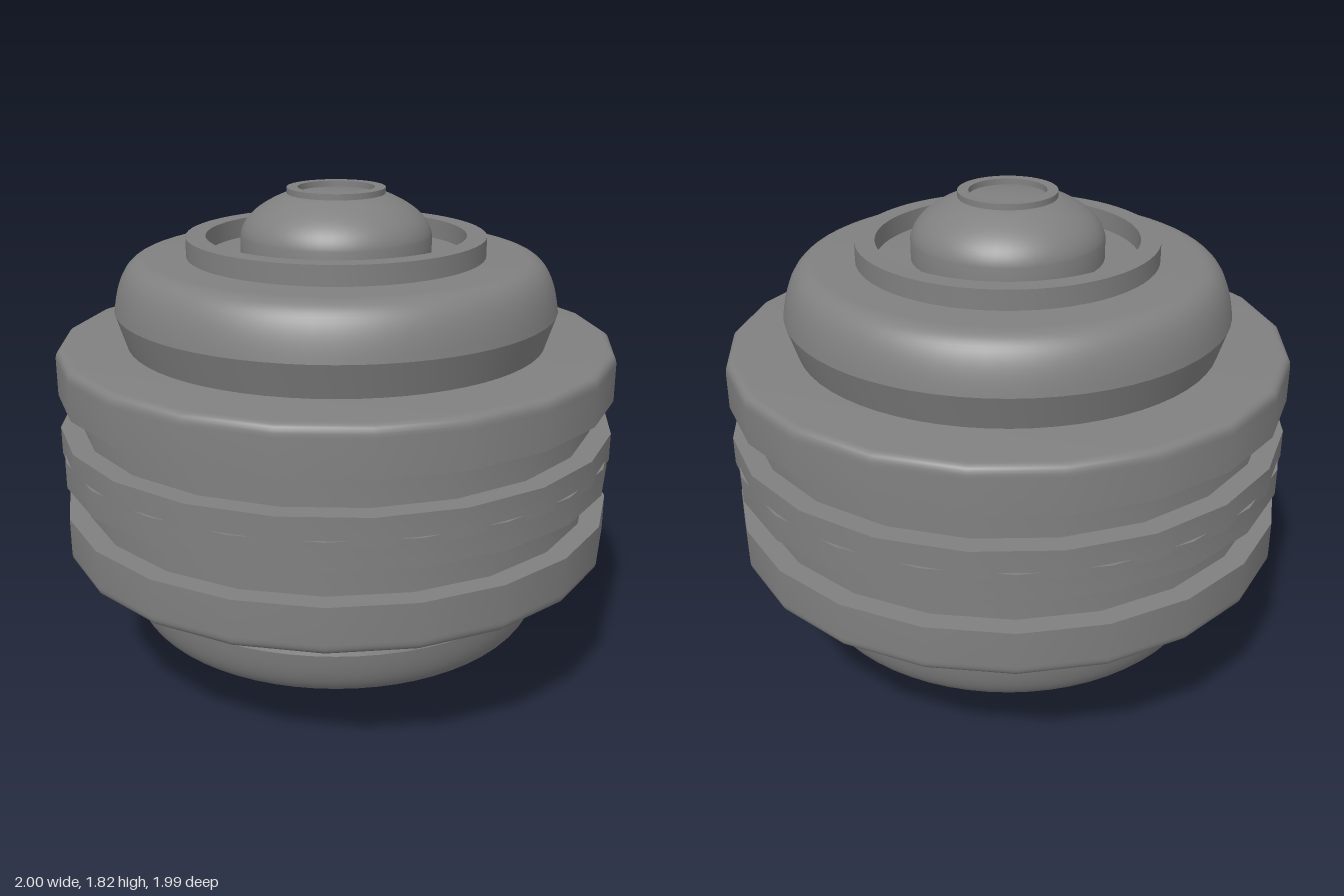
import * as THREE from 'three';
import { toCreasedNormals } from 'three/addons/utils/BufferGeometryUtils.js';

const MID = 0.912; // height of the seam between the two halves
const material = new THREE.MeshStandardMaterial({ color: 0x808080 });

const points = (...pairs) => pairs.map(([r, y]) => new THREE.Vector2(r, y));

// Rounded profile section through a cubic curve
const curve = (n, ...pairs) => new THREE.CubicBezierCurve(...points(...pairs)).getPoints(n);

// Turn a profile (radius, height, listed upwards on the outside) into a mesh
function turned(name, profile, sides, crease) {
  const local = profile.map((p) => new THREE.Vector2(p.x, p.y - MID));
  const geometry = new THREE.LatheGeometry(local, sides, -Math.PI / 2);
  const mesh = new THREE.Mesh(toCreasedNormals(geometry, crease), material);
  mesh.name = name;
  return mesh;
}

function createHalf(name) {
  const half = new THREE.Group();
  half.name = name;

  // Coarse 21-sided drum with a groove and a rounded shoulder
  half.add(turned('groovedDrum', [
    ...points([0, 0.902], [1, 0.902], [1, 1.0], [0.925, 1.0], [0.925, 1.12], [1, 1.12]),
    ...curve(6, [1, 1.25], [1, 1.275], [0.99, 1.29], [0.965, 1.29]),
    ...points([0, 1.29]),
  ], 21, 0.4));

  // Flared body with a soft upper edge
  half.add(turned('flaredBody', [
    ...points([0.748, 1.285]),
    ...curve(14, [0.788, 1.41], [0.77, 1.53], [0.735, 1.59], [0.66, 1.59]),
    ...points([0, 1.59]),
  ], 64, 0.3));

  // Raised rim around the dome
  half.add(turned('raisedRim',
    points([0.53, 1.585], [0.53, 1.66], [0.46, 1.66], [0.46, 1.585]), 64, 0.4));

  // Central dome, easing into the collar
  half.add(turned('dome', [
    ...points([0.338, 1.585]),
    ...curve(14, [0.338, 1.66], [0.328, 1.72], [0.27, 1.765], [0.173, 1.803]),
    ...points([0, 1.803]),
  ], 48, 0.4));

  // Small hollow collar on the dome
  half.add(turned('collar',
    points([0.173, 1.795], [0.173, 1.824], [0.135, 1.824], [0.135, 1.795]), 48, 0.4));
  return half;
}

export function createModel() {
  const model = new THREE.Group();
  model.name = 'groovedCapsule';

  // The lower half is the upper one turned over, so the drum facets interlock
  const upper = createHalf('upperHalf');
  const lower = createHalf('lowerHalf');
  lower.rotation.z = Math.PI;
  for (const half of [upper, lower]) {
    half.position.y = MID;
    model.add(half);
  }
  return model;
}
